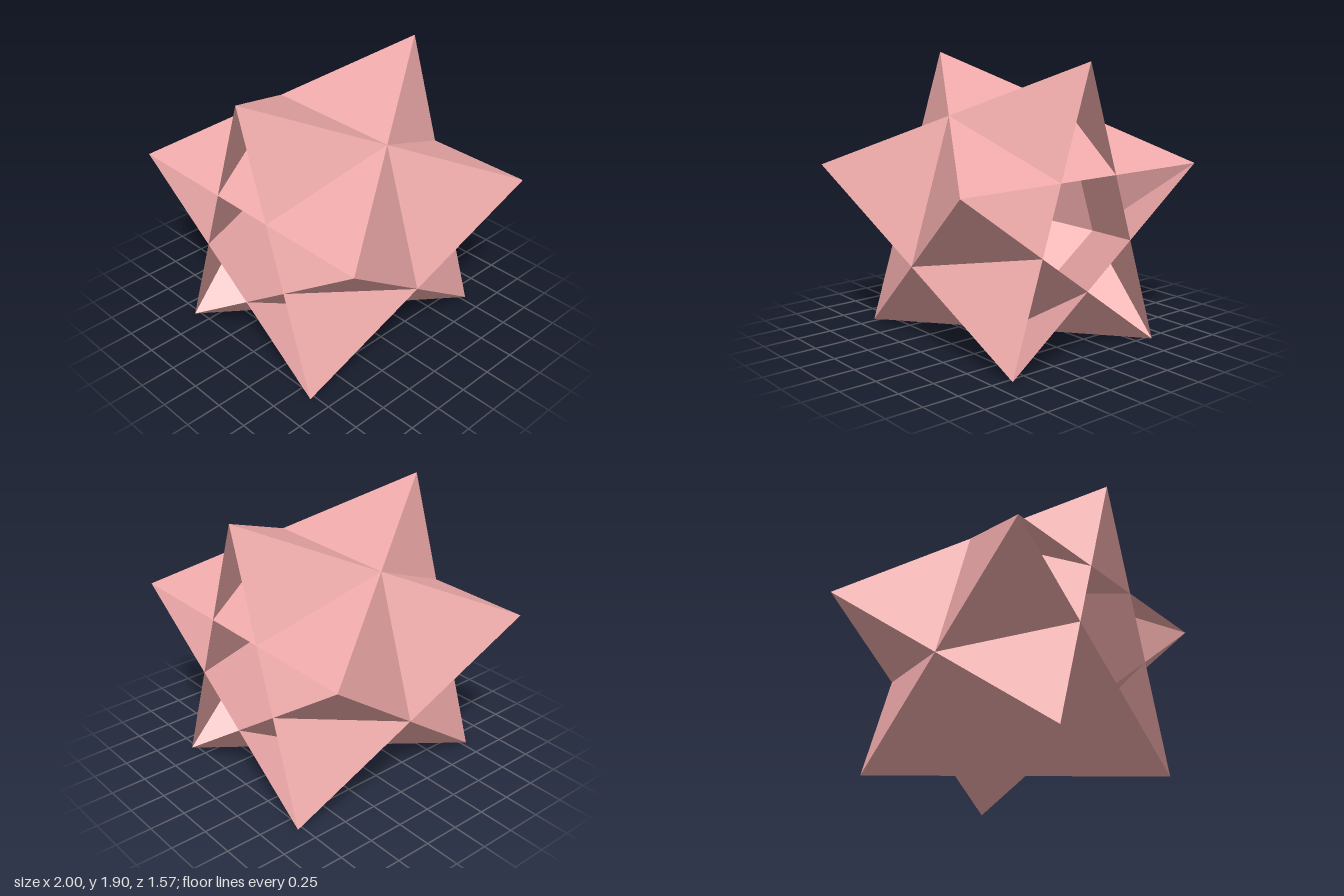
import * as THREE from 'three';

// Open pentagrammic antiprism band: ten equilateral triangles that cross one another.
const EDGE = 2;
const RADIUS = EDGE / 2 / Math.sin(Math.PI * 2 / 5);
const SIDE = 2 * RADIUS * Math.sin(Math.PI / 5);
const HALF_DEPTH = Math.sqrt(EDGE * EDGE - SIDE * SIDE) / 2;
const CENTRE_Y = RADIUS * Math.cos(Math.PI / 5);

// Corner i of the pentagon, counted from the top, at depth z
function corner(i, z) {
  const a = i * Math.PI * 2 / 5;
  return new THREE.Vector3(RADIUS * Math.sin(a), CENTRE_Y + RADIUS * Math.cos(a), z);
}

export function createModel() {
  const group = new THREE.Group();
  group.name = 'starAntiprism';
  const material = new THREE.MeshStandardMaterial({
    color: 0xf0aaaa, flatShading: true, side: THREE.DoubleSide,
  });

  for (const s of [1, -1]) {
    const z = s * HALF_DEPTH;
    for (let i = 0; i < 5; i++) {
      // A star chord on one end, its apex on the other; wound to face outwards
      const points = [corner(i - s, z), corner(i + s, z), corner(i, -z)];
      const geometry = new THREE.BufferGeometry().setFromPoints(points);
      geometry.computeVertexNormals();
      const panel = new THREE.Mesh(geometry, material);
      panel.name = (s > 0 ? 'frontPanel' : 'backPanel') + (i + 1);
      group.add(panel);
    }
  }
  return group;
}
